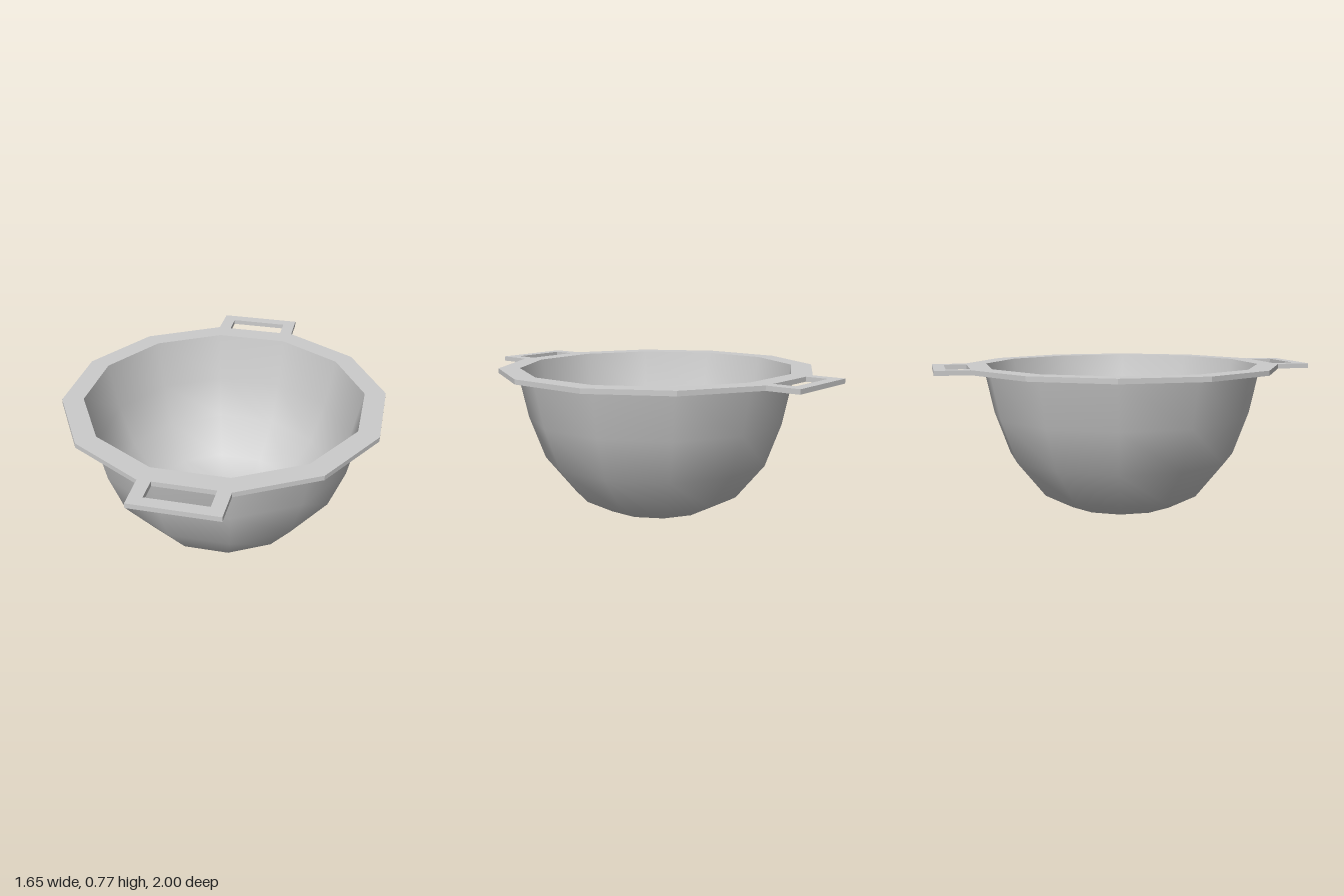
import * as THREE from 'three';

const SIDES = 12;
const STEP = (2 * Math.PI) / SIDES;
const RIM_BOTTOM = 0.75, RIM_TOP = 0.775;

const corner = (radius, k) => {
  const a = (k + 0.5) * STEP;
  return new THREE.Vector2(radius * Math.cos(a), radius * Math.sin(a));
};

const lathe = (points) => new THREE.LatheGeometry(
  points.map(([r, y]) => new THREE.Vector2(r, y)), SIDES, STEP / 2);

export function createModel() {
  const model = new THREE.Group();
  model.name = 'bowl';
  const material = new THREE.MeshStandardMaterial({ color: 0xcccccc });
  const add = (name, geometry) => {
    const mesh = new THREE.Mesh(geometry, material);
    mesh.name = name;
    model.add(mesh);
    return mesh;
  };

  // Outer wall, from the base centre up to the underside of the rim
  add('outerWall', lathe([
    [0, 0], [0.08, 0.003], [0.3, 0.01], [0.457, 0.092],
    [0.614, 0.283], [0.698, 0.51], [0.75, RIM_BOTTOM],
  ]));

  // Inner wall, from the rim down to the floor of the bowl
  add('innerWall', lathe([
    [0.738, RIM_TOP], [0.683, 0.515], [0.6, 0.292],
    [0.447, 0.106], [0.296, 0.025], [0, 0.017],
  ]));

  // Flat rim whose front and back edges extend into handles
  const outline = [];
  for (let k = 0; k < SIDES; k++) {
    outline.push(corner(0.85, k));
    if (k === 2) outline.push(new THREE.Vector2(0.218, 1), new THREE.Vector2(-0.218, 1));
    if (k === 8) outline.push(new THREE.Vector2(-0.218, -1), new THREE.Vector2(0.218, -1));
  }
  const rim = new THREE.Shape(outline);

  // Bowl opening
  const opening = [];
  for (let k = 0; k < SIDES; k++) opening.push(corner(0.738, k));
  rim.holes.push(new THREE.Path(opening));

  // Grip slots in both handles
  for (const s of [1, -1]) {
    rim.holes.push(new THREE.Path([
      [-0.153, 0.82], [0.153, 0.82], [0.153, 0.94], [-0.153, 0.94],
    ].map(([x, y]) => new THREE.Vector2(x, s * y))));
  }
  const rimGeometry = new THREE.ExtrudeGeometry(rim, {
    depth: RIM_TOP - RIM_BOTTOM, bevelEnabled: false,
  });
  rimGeometry.rotateX(-Math.PI / 2);
  add('rimWithHandles', rimGeometry).position.y = RIM_BOTTOM;

  // The whole bowl sits at a very slight turn
  model.rotation.y = 0.008;
  return model;
}
